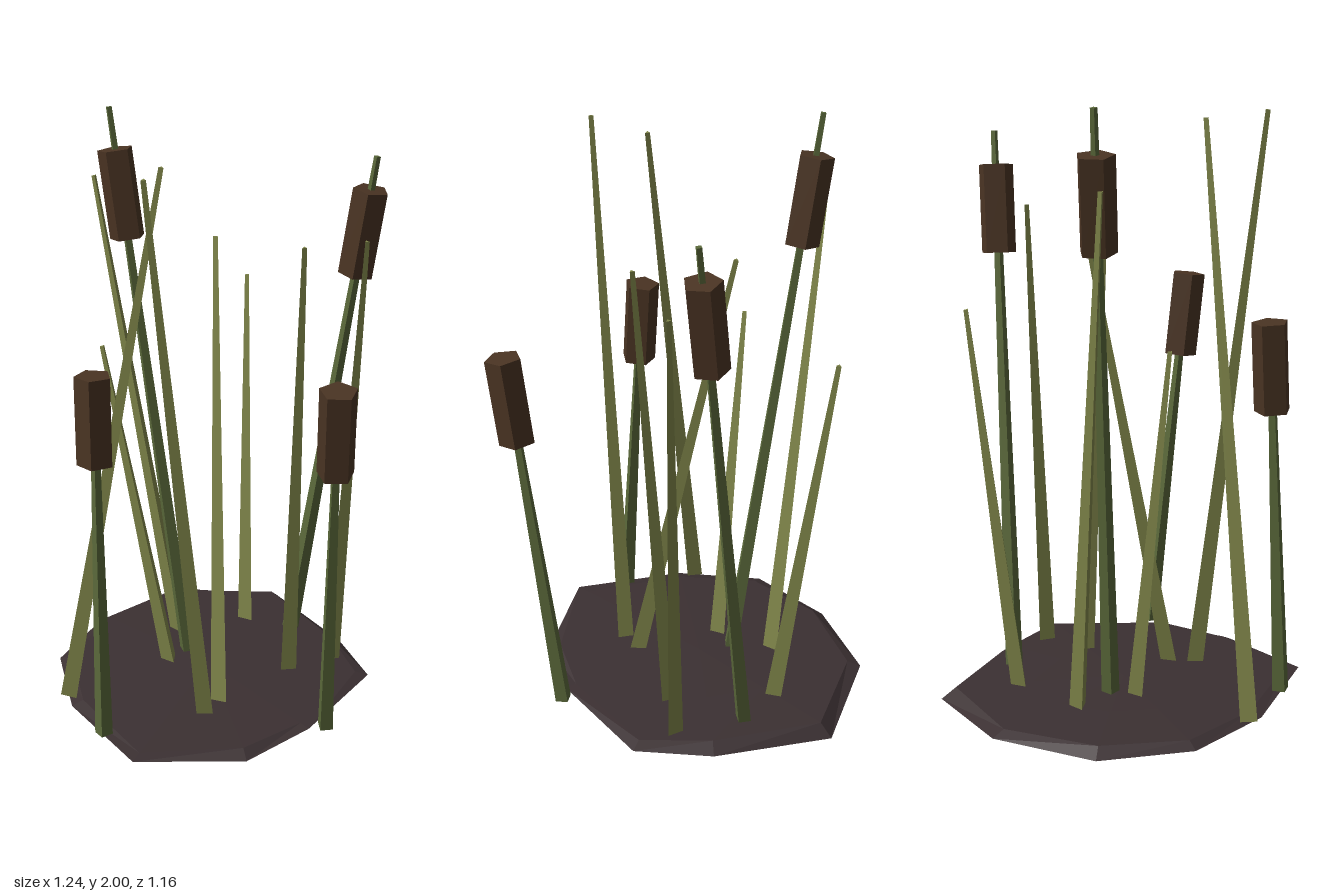
import * as THREE from 'three';

const mat = (name, color) => {
  const m = new THREE.MeshStandardMaterial({ color, flatShading: true });
  m.name = name;
  return m;
};

const V = (a) => new THREE.Vector3(...a);

// Tapered prism running between two points
function rod(name, from, to, r0, r1, sides, material, twist = 0) {
  const a = V(from), b = V(to), dir = b.clone().sub(a);
  const geo = new THREE.CylinderGeometry(r1, r0, dir.length(), sides);
  geo.rotateY(twist);
  const mesh = new THREE.Mesh(geo, material);
  mesh.name = name;
  mesh.position.copy(a).add(b).multiplyScalar(0.5);
  mesh.quaternion.setFromUnitVectors(new THREE.Vector3(0, 1, 0), dir.normalize());
  return mesh;
}

// Irregular flat mud patch: rings of the same outline, closed by centre points
function mudPatch(material) {
  const rim = [
    [-0.27, 0.022, -0.585], [0.13, 0.03, -0.485], [0.365, 0.05, -0.355], [0.43, 0.06, 0.045],
    [0.38, 0.04, 0.3], [0.13, 0.06, 0.575], [-0.26, 0.05, 0.49], [-0.52, 0.045, 0.315],
    [-0.62, 0.032, 0.02], [-0.56, 0.045, -0.325]
  ];
  const n = rim.length, cx = -0.08;
  const ring = (s, y) => rim.map(p => [cx + (p[0] - cx) * s, y, p[2] * s]);
  const rings = [ring(0.6, 0.012), ring(0.87, 0.022), rim, ring(0.92, 0.062), ring(0.5, 0.068)];
  const pos = [...rings.flat(2), cx, 0, 0, cx, 0.074, 0];
  const bottom = rings.length * n, top = bottom + 1, last = (rings.length - 1) * n;
  const idx = [];
  for (let i = 0; i < n; i++) {
    const j = (i + 1) % n;
    for (let k = 0; k < rings.length - 1; k++) {
      const a = k * n + i, b = k * n + j;
      idx.push(a, a + n, b, b, a + n, b + n);
    }
    idx.push(bottom, i, j, top, last + j, last + i);
  }
  const geo = new THREE.BufferGeometry();
  geo.setAttribute('position', new THREE.Float32BufferAttribute(pos, 3));
  geo.setIndex(idx);
  const flat = geo.toNonIndexed();
  flat.computeVertexNormals();
  const mesh = new THREE.Mesh(flat, material);
  mesh.name = 'mudPatch';
  return mesh;
}

export function createModel() {
  const group = new THREE.Group();
  group.name = 'cattails';
  const mud = mat('mud', 0x3b3032);
  const leaf = mat('leaf', 0x80864a);
  const stalk = mat('stalk', 0x5a683a);
  const seed = mat('seedHead', 0x4a3423);

  group.add(mudPatch(mud));

  // Cattails: stalk base, stalk tip, seed head bottom and top heights
  const cattails = [
    [[-0.2, 0.06, -0.02], [-0.51, 2.0, 0.0], 1.575, 1.865, 0.3],
    [[-0.035, 0.06, -0.395], [0.205, 1.87, -0.495], 1.47, 1.76, 0.5],
    [[-0.055, 0.06, 0.53], [-0.105, 1.31, 0.473], 1.03, 1.32, 0.6],
    [[0.46, 0.06, -0.005], [0.56, 1.34, 0.108], 1.06, 1.35, 0.1]
  ];
  cattails.forEach(([base, tip, y0, y1, twist], i) => {
    const plant = new THREE.Group();
    plant.name = `cattail${i + 1}`;
    const at = (y) => V(base).lerp(V(tip), (y - base[1]) / (tip[1] - base[1])).toArray();
    plant.add(rod('stalk', base, tip, 0.03, 0.011, 4, stalk, twist));
    plant.add(rod('seedHead', at(y0), at(y1), 0.06, 0.06, 5, seed, twist));
    group.add(plant);
  });

  // Leaf blades: base, tip
  const blades = [
    [[-0.325, 0.06, -0.1], [-0.56, 1.77, 0.03]],
    [[-0.2, 0.06, 0.07], [-0.36, 1.27, 0.2]],
    [[-0.195, 0.06, -0.33], [-0.31, 1.365, -0.45]],
    [[0.1, 0.06, 0.13], [-0.14, 1.62, -0.11]],
    [[-0.31, 0.06, 0.455], [-0.02, 1.94, 0.25]],
    [[0.11, 0.06, 0.215], [0.09, 1.96, 0.43]],
    [[0.14, 0.06, -0.18], [0.225, 1.66, -0.12]],
    [[0.205, 0.06, -0.34], [0.25, 1.62, -0.4]]
  ];
  blades.forEach(([base, tip], i) => {
    group.add(rod(`leafBlade${i + 1}`, base, tip, 0.032, 0.009, 3, leaf, Math.PI + i * 0.15));
  });

  return group;
}
